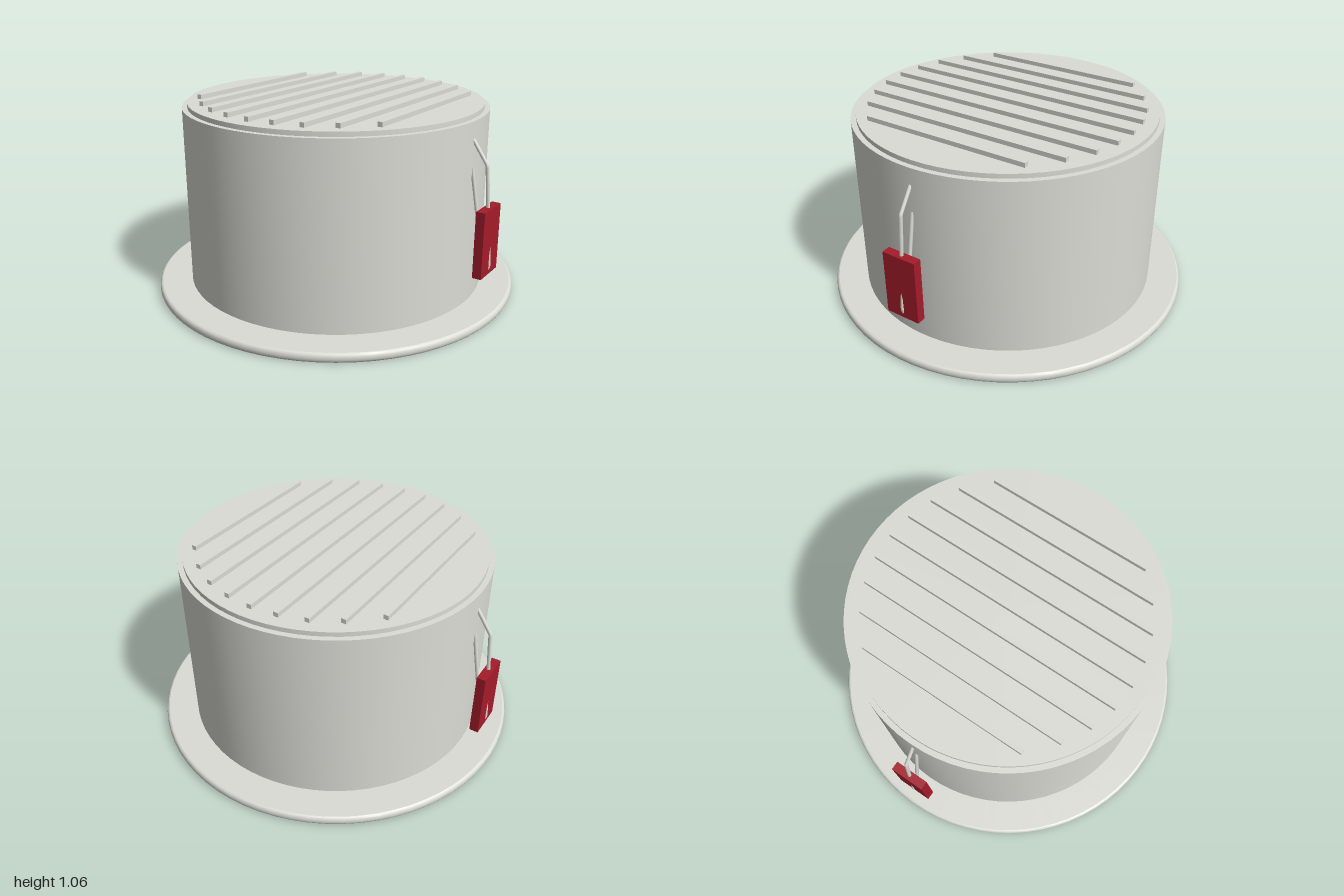
import * as THREE from 'three';
import { toCreasedNormals } from 'three/addons/utils/BufferGeometryUtils.js';

const steel = new THREE.MeshStandardMaterial({ color: 0xdcdcd6 });
steel.name = 'light grey metal';
const red = new THREE.MeshStandardMaterial({ color: 0xa51c2a });
red.name = 'red grip';

function add(parent, name, geometry, material) {
  const mesh = new THREE.Mesh(geometry, material);
  mesh.name = name;
  parent.add(mesh);
  return mesh;
}

// Turned part from [radius, height] pairs, with sharp edges kept
function turned(points) {
  const profile = points.map(([r, y]) => new THREE.Vector2(r, y));
  return toCreasedNormals(new THREE.LatheGeometry(profile, 72), 0.6);
}

// Spring clip on the +x side: a bent wire with a red grip plate
function makeClip() {
  const clip = new THREE.Group();
  const grip = add(clip, 'gripPlate', new THREE.BoxGeometry(0.047, 0.35, 0.19), red);
  grip.position.set(0.917, 0.413, 0);

  const points = [
    [0.815, 0.92], [0.897, 0.8], [0.939, 0.28], [0.925, 0.245], [0.905, 0.28], [0.817, 0.78],
  ].map(([x, y]) => new THREE.Vector3(x, y, 0));
  const path = new THREE.CurvePath();
  for (let i = 1; i < points.length; i++) path.add(new THREE.LineCurve3(points[i - 1], points[i]));
  add(clip, 'springWire', new THREE.TubeGeometry(path, 80, 0.01, 8), steel);
  return clip;
}

export function createModel() {
  const model = new THREE.Group();
  model.name = 'recessedDownlight';

  // Flat trim ring with a separate rounded rim
  const rim = [];
  for (let i = 0; i <= 8; i++) {
    const a = -Math.PI / 2 + (i / 8) * Math.PI;
    rim.push([0.985 + 0.015 * Math.cos(a), 0.0245 + 0.0245 * Math.sin(a)]);
  }
  add(model, 'trimRim', turned(rim), steel);
  add(model, 'trimTop', turned([[0.985, 0.049], [0.815, 0.049]]), steel);
  add(model, 'trimFace', turned([[0.775, 0.043], [0.8, 0.04], [0.8, 0], [0.985, 0]]), steel);

  // Outer can and its stepped lid
  add(model, 'housing', turned([[0.822, 0.045], [0.822, 1.012], [0.785, 1.012]]), steel);
  add(model, 'lid', turned([[0.794, 1.01], [0.794, 1.036], [0, 1.036]]), steel);

  // Tapered inner reflector, open at the bottom, with a flat ceiling
  const bowl = [[0, 0.7]];
  for (let i = 12; i >= 0; i--) {
    const t = i / 12;
    bowl.push([0.785 - 0.235 * t ** 1.5, 0.043 + 0.657 * t]);
  }
  add(model, 'reflector', turned(bowl), steel);

  // Cooling fins across the lid
  const halfLengths = [0.728, 0.714, 0.673, 0.592, 0.465];
  for (let i = -4; i <= 4; i++) {
    const length = 2 * halfLengths[Math.abs(i)];
    const fin = add(model, 'coolingFin', new THREE.BoxGeometry(0.026, 0.03, length), steel);
    fin.position.set(i * 0.1415, 1.045, 0);
  }

  // Spring clips on both sides
  const leftClip = makeClip();
  leftClip.name = 'leftSpringClip';
  const rightClip = makeClip();
  rightClip.name = 'rightSpringClip';
  rightClip.rotation.y = Math.PI;
  model.add(leftClip, rightClip);

  return model;
}
